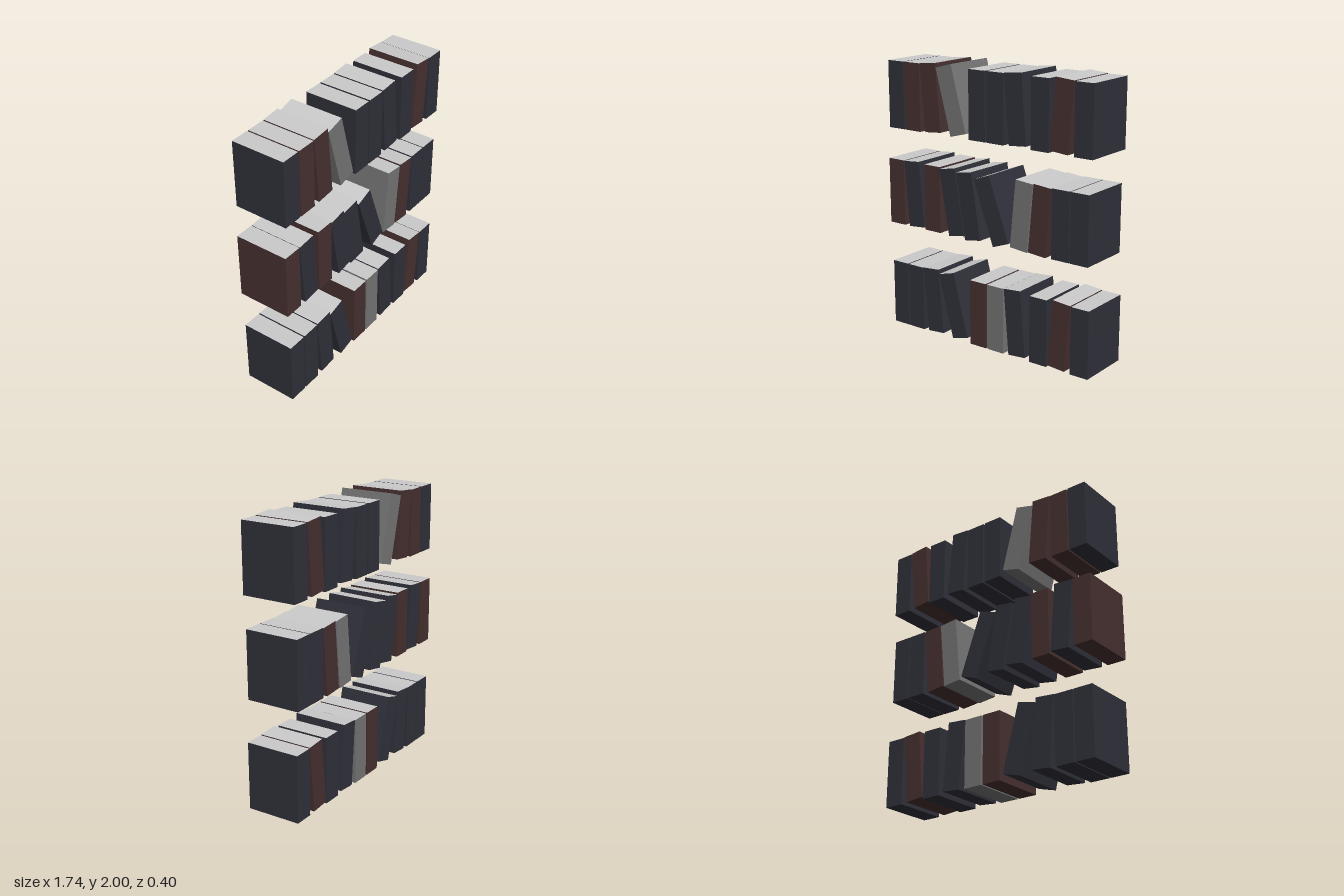
import * as THREE from 'three';

const W = 0.14, H = 0.484, D = 0.396;

function material(name, color) {
  const m = new THREE.MeshStandardMaterial({ color });
  m.name = name;
  return m;
}

export function createModel() {
  const model = new THREE.Group();
  model.name = 'bookRows';

  const pages = material('pale pages', 0xcacaca);
  const covers = {
    navy: material('dark navy cover', 0x30303a),
    red: material('dark red cover', 0x473030),
    grey: material('grey cover', 0x757575),
  };
  const geometry = new THREE.BoxGeometry(W, H, D);

  // One book: cover on every face except the top, which shows the pages
  function addBook(row, color, x, lean = 0, yaw = 0, y = null) {
    const c = covers[color];
    const book = new THREE.Mesh(geometry, [c, c, pages, c, c, c]);
    book.name = 'book';
    const a = Math.abs(lean);
    // leaning books rest roughly on the shared mid height of the row
    book.position.set(x, y ?? H / 2 + (a > 0 ? 0.01 : 0), 0);
    book.rotation.order = 'YXZ';
    book.rotation.set(0, yaw, lean);
    row.add(book);
  }

  function addRow(name, y) {
    const row = new THREE.Group();
    row.name = name;
    row.position.y = y;
    model.add(row);
    return row;
  }

  // Bottom and top rows share one arrangement: [x, lean]
  const layout = [
    [-0.786, 0], [-0.636, 0], [-0.47, 0.085], [-0.284, 0.262], [-0.057, 0],
    [0.097, 0], [0.264, 0.085], [0.463, 0], [0.633, -0.085], [0.8, 0],
  ];
  const bottomColors = ['navy', 'navy', 'navy', 'navy', 'red', 'grey', 'navy', 'navy', 'red', 'navy'];
  const topColors = ['navy', 'red', 'red', 'grey', 'navy', 'navy', 'navy', 'navy', 'red', 'navy'];
  const bottom = addRow('bottomRow', 0);
  const top = addRow('topRow', 1.496);
  layout.forEach(([x, lean], i) => {
    addBook(bottom, bottomColors[i], x, lean);
    addBook(top, topColors[i], x, lean);
  });

  // Middle row: [color, x, lean, yaw, height of centre]
  const middle = addRow('middleRow', 0.782);
  [
    ['red', -0.802, 0],
    ['navy', -0.637, 0.085, 0, 0.247],
    ['red', -0.464, 0],
    ['navy', -0.286, 0.174, 0, 0.244],
    ['navy', -0.132, 0.165, -0.035, 0.24],
    ['navy', 0.062, 0.35, 0, 0.239],
    ['grey', 0.318, -0.096, 0, 0.251],
    ['red', 0.468, -0.085, 0, 0.244],
    ['navy', 0.635, 0],
    ['navy', 0.782, 0],
  ].forEach((b) => addBook(middle, ...b));

  return model;
}
